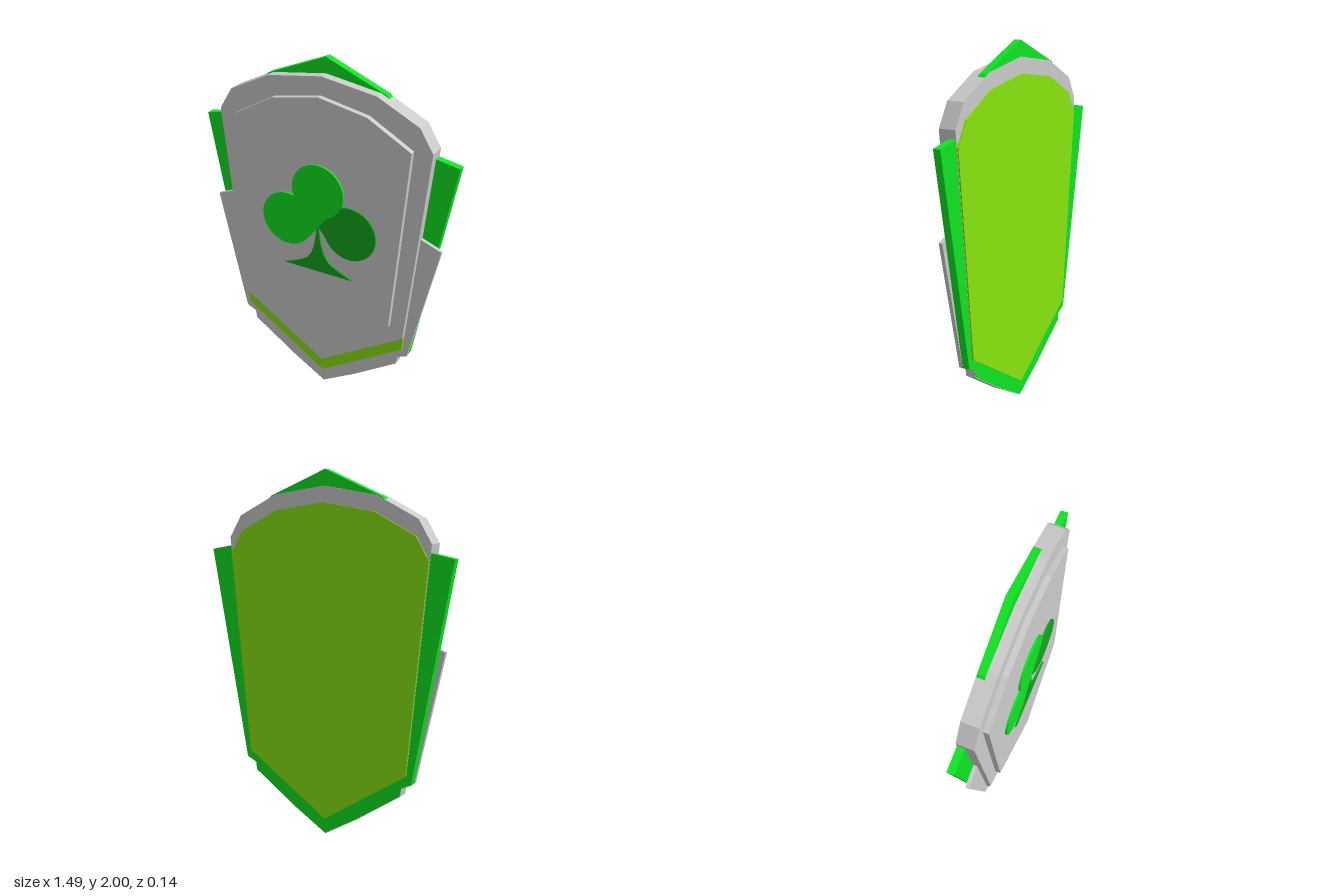
import * as THREE from 'three';

const material = (color) => new THREE.MeshStandardMaterial({ color, flatShading: true });
const grey = material(0xcccccc);
const green = material(0x0ee622);
const darkGreen = material(0x11a71c);
const lime = material(0x88e60f);

// Full outline from its right half, listed from the top centre to the bottom tip
function mirrored(half) {
  const left = half.filter(([x]) => x > 0).reverse().map(([x, y]) => [-x, y]);
  return [...half, ...left];
}

const polygon = (points) => new THREE.Shape(points.map(([x, y]) => new THREE.Vector2(x, y)));

function disc(x, y, radius) {
  const shape = new THREE.Shape();
  shape.absarc(x, y, radius, 0, Math.PI * 2);
  return shape;
}

// Flat slab of one or more shapes between two depths
function slab(name, shapes, back, front, mat) {
  const geometry = new THREE.ExtrudeGeometry(shapes, {
    depth: front - back, bevelEnabled: false, curveSegments: 24,
  });
  geometry.translate(0, 0, back);
  const mesh = new THREE.Mesh(geometry, mat);
  mesh.name = name;
  return mesh;
}

export function createModel() {
  const shield = new THREE.Group();
  shield.name = 'shield';

  const rim = [[0, 1.915], [0.31, 1.868], [0.545, 1.752], [0.62, 1.63], [0.507, 0.5], [0, 0.175]];
  const face = [[0, 1.815], [0.275, 1.762], [0.52, 1.625], [0.433, 0.572], [0, 0.277]];
  const tip = [[0.47, 0.345], [0.463, 0.297], [0.2, 0.12], [0, 0]];

  // Main plates, from front to back
  shield.add(slab('facePlate', polygon(mirrored(face)), 0.03, 0.061, grey));
  shield.add(slab('rimPlate', polygon(mirrored(rim)), -0.064, 0.03, grey));

  // Lime plate: the rim outline, slightly lower and narrower
  const limeHalf = rim.map(([x, y]) => [x * 0.982, y - 0.085]);
  shield.add(slab('limeBackPlate', polygon(mirrored(limeHalf)), -0.071, 0.015, lime));

  // Grey lower guard: thin side wings with a thicker pointed tip
  const guard = [[0, 1.13], [0.57, 1.13], [0.686, 1.086], [0.526, 0.37], ...tip];
  shield.add(slab('lowerGuard', polygon(mirrored(guard)), -0.021, 0, grey));
  shield.add(slab('lowerTip', polygon(mirrored([[0, 0.345], ...tip])), -0.06, -0.021, grey));

  // Green backing with a peaked top and side wings
  const backing = [
    [0, 2], [0.34, 1.86], [0.612, 1.585], [0.745, 1.56], [0.526, 0.37],
    [0.468, 0.343], [0.46, 0.299], [0.199, 0.123], [0, 0.005],
  ];
  shield.add(slab('greenBacking', polygon(mirrored(backing)), -0.062, -0.0215, green));

  // Clover emblem
  const clover = new THREE.Group();
  clover.name = 'clover';
  const web = polygon([[-0.15, 1.2], [-0.11, 1.23], [0.07, 1.16], [0.005, 1.085], [-0.05, 1.01], [-0.15, 1.08]]);
  clover.add(slab('brightLeaves', [disc(0, 1.292, 0.154), disc(-0.187, 1.088, 0.154), web], 0.06, 0.073, green));

  const join = polygon([[0.005, 1.085], [0.08, 1.19], [0.12, 1.09], [0.06, 1.015]]);
  clover.add(slab('darkLeaf', [disc(0.192, 1.087, 0.154), join], 0.06, 0.072, darkGreen));

  const stem = [[0.004, 1.085], [0.018, 0.98], [0.036, 0.92], [0.065, 0.875], [0.11, 0.847], [0.21, 0.805]];
  clover.add(slab('stem', polygon(mirrored(stem)), 0.06, 0.0715, darkGreen));
  shield.add(clover);

  return shield;
}
